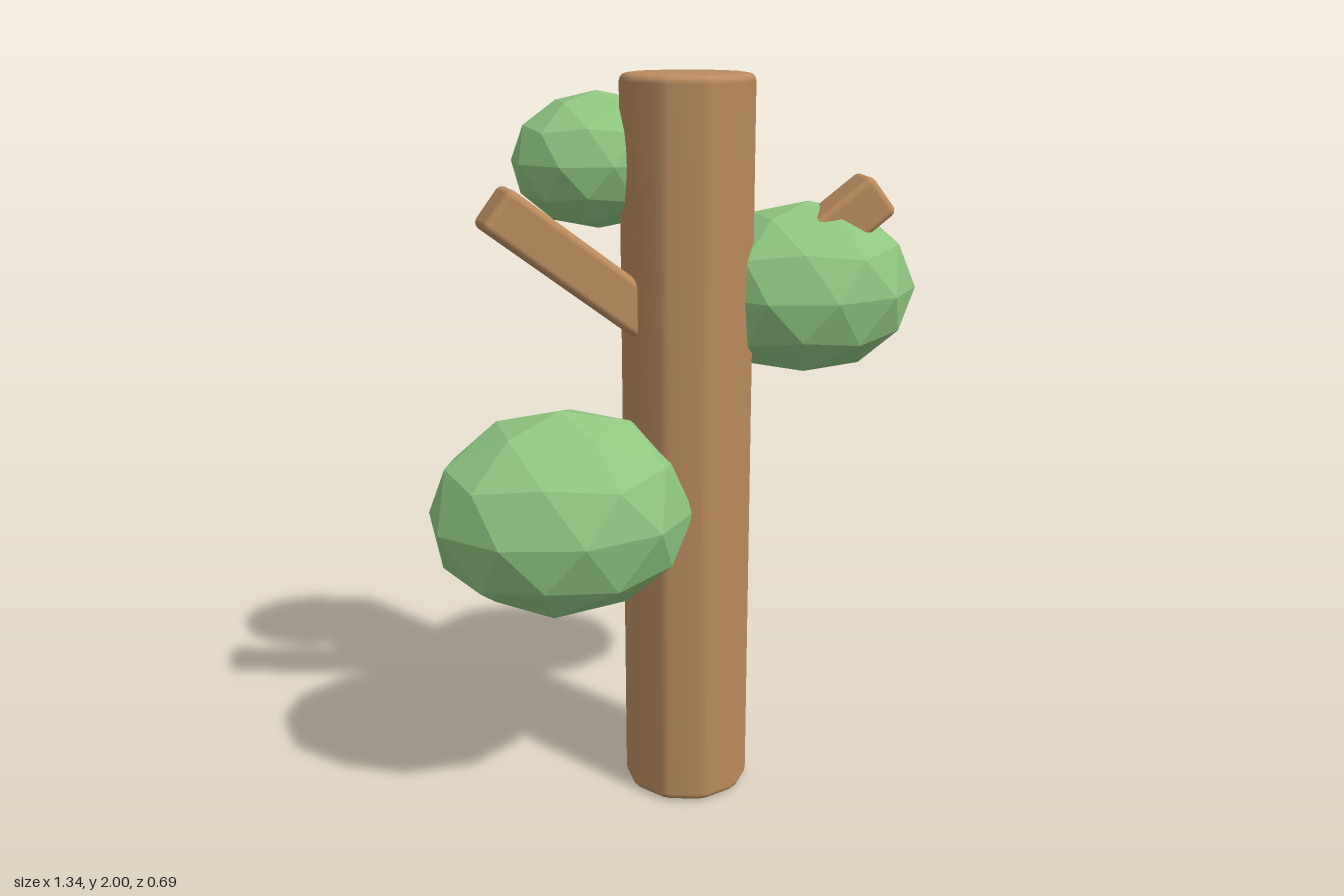
import * as THREE from 'three';
import { mergeVertices } from 'three/addons/utils/BufferGeometryUtils.js';
import { RoundedBoxGeometry } from 'three/addons/geometries/RoundedBoxGeometry.js';

const TRUNK = { x: 0.033, z: -0.011, radius: 0.177, height: 2, sides: 10, bevel: 0.02 };

// Ten-sided post with softened corners and rims
function trunkGeometry() {
  const { radius, height, sides, bevel } = TRUNK;
  const r = radius - bevel;
  const corner = (i) => {
    const a = (i / sides) * Math.PI * 2 + Math.PI / 2;
    return new THREE.Vector2(Math.cos(a) * r, Math.sin(a) * r);
  };
  const outline = [];
  for (let i = 0; i < sides; i++) {
    for (const n of [i - 1, i + 1]) outline.push(corner(i).lerp(corner(n), 0.1));
  }
  let geo = new THREE.ExtrudeGeometry(new THREE.Shape(outline), {
    depth: height - 2 * bevel, bevelEnabled: true,
    bevelThickness: bevel, bevelSize: bevel, bevelSegments: 3,
  });
  geo.translate(0, 0, bevel);
  geo.rotateX(-Math.PI / 2);
  geo.deleteAttribute('uv');
  geo.deleteAttribute('normal');
  geo = mergeVertices(geo, 1e-4);
  geo.computeVertexNormals();
  return geo;
}

// Faceted ball with a vertex at its top and bottom poles
function foliageGeometry() {
  const geo = new THREE.IcosahedronGeometry(1, 1);
  geo.rotateX(-Math.atan((1 + Math.sqrt(5)) / 2));
  geo.rotateY(Math.PI / 2);
  return geo;
}

export function createModel() {
  const bark = new THREE.MeshStandardMaterial({ color: 0xba8c5f });
  bark.name = 'bark';
  const leaves = new THREE.MeshStandardMaterial({ color: 0x8fc681 });
  leaves.name = 'leaves';
  leaves.flatShading = true;

  const model = new THREE.Group();
  model.name = 'tree';
  const add = (name, geo, mat, x, y, z) => {
    const mesh = new THREE.Mesh(geo, mat);
    mesh.name = name;
    mesh.position.set(x, y, z);
    model.add(mesh);
    return mesh;
  };

  add('trunk', trunkGeometry(), bark, TRUNK.x, 0, TRUNK.z);

  // Mirrored branches rising from the trunk and leaning slightly forward
  const rise = THREE.MathUtils.degToRad(37.5);
  const yaw = THREE.MathUtils.degToRad(4.5);
  const length = 0.656;
  const branchGeo = new RoundedBoxGeometry(length, 0.125, 0.125, 3, 0.02);
  for (const s of [-1, 1]) {
    const branch = add(s > 0 ? 'leftBranch' : 'rightBranch', branchGeo, bark,
      TRUNK.x + s * Math.cos(rise) * length / 2,
      1.29 + Math.sin(rise) * length / 2,
      TRUNK.z + Math.sin(yaw) * Math.cos(rise) * length / 2);
    branch.rotation.set(0, -s * yaw, s * rise, 'YZX');
  }

  // Leaf clumps: name, centre, radii
  const ball = foliageGeometry();
  const clumps = [
    ['lowerFoliage', [-0.33, 0.875, 0.048], [0.36, 0.28, 0.296]],
    ['middleFoliage', [0.38, 1.425, -0.04], [0.306, 0.236, 0.247]],
    ['upperFoliage', [-0.17, 1.773, -0.158], [0.232, 0.179, 0.19]],
  ];
  for (const [name, centre, radii] of clumps) {
    add(name, ball, leaves, ...centre).scale.set(...radii);
  }
  return model;
}
